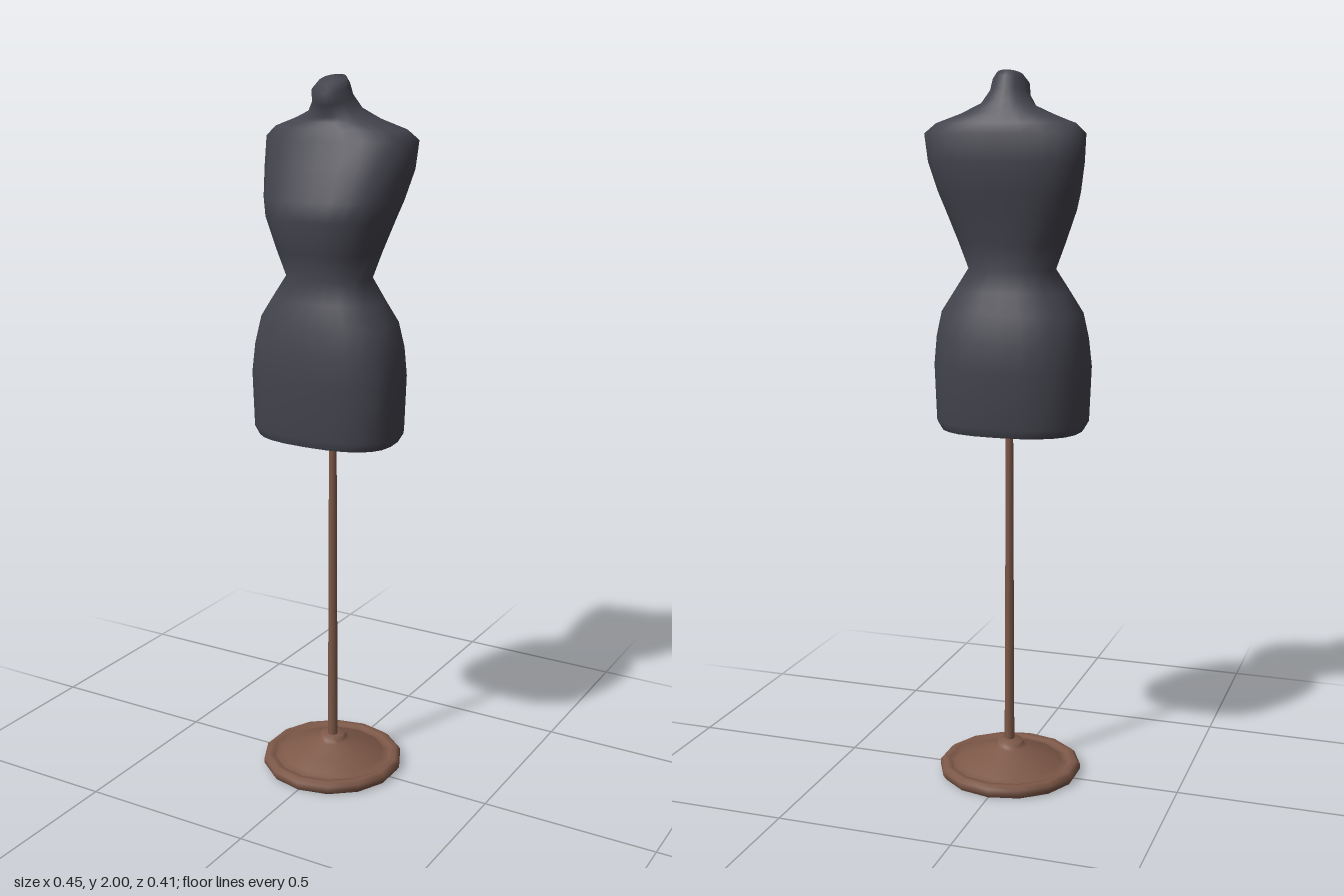
import * as THREE from 'three';

const fabric = new THREE.MeshStandardMaterial({ color: 0x43434d });
fabric.name = 'charcoal fabric';
const wood = new THREE.MeshStandardMaterial({ color: 0x7d5848 });
wood.name = 'brown wood';
const felt = new THREE.MeshStandardMaterial({ color: 0xb4b4b4 });
felt.name = 'grey felt';

const SEGMENTS = 24;

// Cross-sections: height, half width, front z, back z, z of widest point, squareness, forward tilt
const SECTIONS = [
  [1.02, 0.2, 0.15, -0.125, 0.03, 2.5, 0],
  [1.045, 0.215, 0.158, -0.135, 0.03, 2.5, 0],
  [1.2, 0.222, 0.163, -0.142, 0.03, 2.4, 0],
  [1.28, 0.214, 0.157, -0.134, 0.025, 2.4, 0],
  [1.35, 0.2, 0.147, -0.115, 0.02, 2.3, 0],
  [1.41, 0.162, 0.13, -0.093, 0.02, 2.2, 0],
  [1.47, 0.123, 0.112, -0.076, 0.018, 2.1, 0],
  [1.54, 0.148, 0.128, -0.084, 0.015, 2.3, 0],
  [1.63, 0.18, 0.147, -0.1, 0.0, 2.5, 0],
  [1.68, 0.196, 0.137, -0.111, -0.02, 2.5, 0],
  [1.76, 0.216, 0.104, -0.124, -0.05, 2.4, 0],
  [1.835, 0.225, 0.076, -0.119, -0.06, 2.3, 0],
  [1.862, 0.195, 0.062, -0.105, -0.05, 2.2, 0],
  [1.885, 0.13, 0.048, -0.088, -0.03, 2, 0.08],
  [1.907, 0.078, 0.043, -0.07, -0.015, 2, 0.25],
  [1.94, 0.055, 0.052, -0.055, 0, 2, 0.3],
  [1.97, 0.05, 0.063, -0.045, 0.01, 2, 0.3],
  [1.989, 0.036, 0.043, -0.037, 0, 2, 0.3],
];

function sectionPoint([y, halfWidth, front, back, wide, power, tilt], i) {
  const a = (i / SEGMENTS) * Math.PI * 2;
  const s = Math.sin(a), c = Math.cos(a);
  const x = Math.sign(s) * Math.abs(s) ** (2 / power) * halfWidth;
  const d = Math.abs(c) ** (2 / power);
  const z = wide + (c > 0 ? d * (front - wide) : d * (back - wide));
  return [x, y - tilt * (z - (front + back) / 2), z];
}

function torsoGeometry() {
  const points = [], faces = [];
  const addRing = (section) => {
    const start = points.length / 3;
    for (let i = 0; i < SEGMENTS; i++) points.push(...sectionPoint(section, i));
    return start;
  };
  SECTIONS.forEach((section, r) => {
    const start = addRing(section);
    if (r === 0) return;
    for (let i = 0; i < SEGMENTS; i++) {
      const j = (i + 1) % SEGMENTS, below = start - SEGMENTS;
      faces.push(below + i, below + j, start + j, below + i, start + j, start + i);
    }
  });
  // Rounded neck top
  const last = points.length / 3 - SEGMENTS;
  const top = points.length / 3;
  points.push(0, 1.998, -0.005);
  for (let i = 0; i < SEGMENTS; i++) faces.push(last + i, last + (i + 1) % SEGMENTS, top);
  // Flat underside with its own vertices for a sharp edge
  const base = addRing(SECTIONS[0]);
  const centre = points.length / 3;
  points.push(0, SECTIONS[0][0], 0.01);
  for (let i = 0; i < SEGMENTS; i++) faces.push(base + (i + 1) % SEGMENTS, base + i, centre);

  const geometry = new THREE.BufferGeometry();
  geometry.setAttribute('position', new THREE.Float32BufferAttribute(points, 3));
  geometry.setIndex(faces);
  geometry.computeVertexNormals();
  return geometry;
}

export function createModel() {
  const model = new THREE.Group();
  model.name = 'dressForm';
  const add = (name, geometry, material, x, y, z) => {
    const mesh = new THREE.Mesh(geometry, material);
    mesh.name = name;
    mesh.position.set(x, y, z);
    model.add(mesh);
    return mesh;
  };

  add('torso', torsoGeometry(), fabric, 0, 0, 0);

  // Slightly tapered stand
  add('pole', new THREE.CylinderGeometry(0.011, 0.015, 0.95, 8), wood, 0.004, 0.565, 0.006);

  // Turned foot with a raised rim, groove and collar
  const profile = [
    [0.198, 0], [0.206, 0.012], [0.205, 0.026], [0.194, 0.036], [0.176, 0.034],
    [0.166, 0.024], [0.15, 0.036], [0.1, 0.057], [0.05, 0.078], [0.038, 0.084],
    [0.036, 0.095], [0.01, 0.098],
  ].map(([r, y]) => new THREE.Vector2(r, y));
  add('foot', new THREE.LatheGeometry(profile, 14), wood, 0, 0, 0);

  // Pale underside of the foot
  const underside = add('footUnderside', new THREE.CircleGeometry(0.198, 14), felt, 0, 0, 0);
  underside.rotation.set(Math.PI / 2, 0, Math.PI / 2);

  return model;
}
